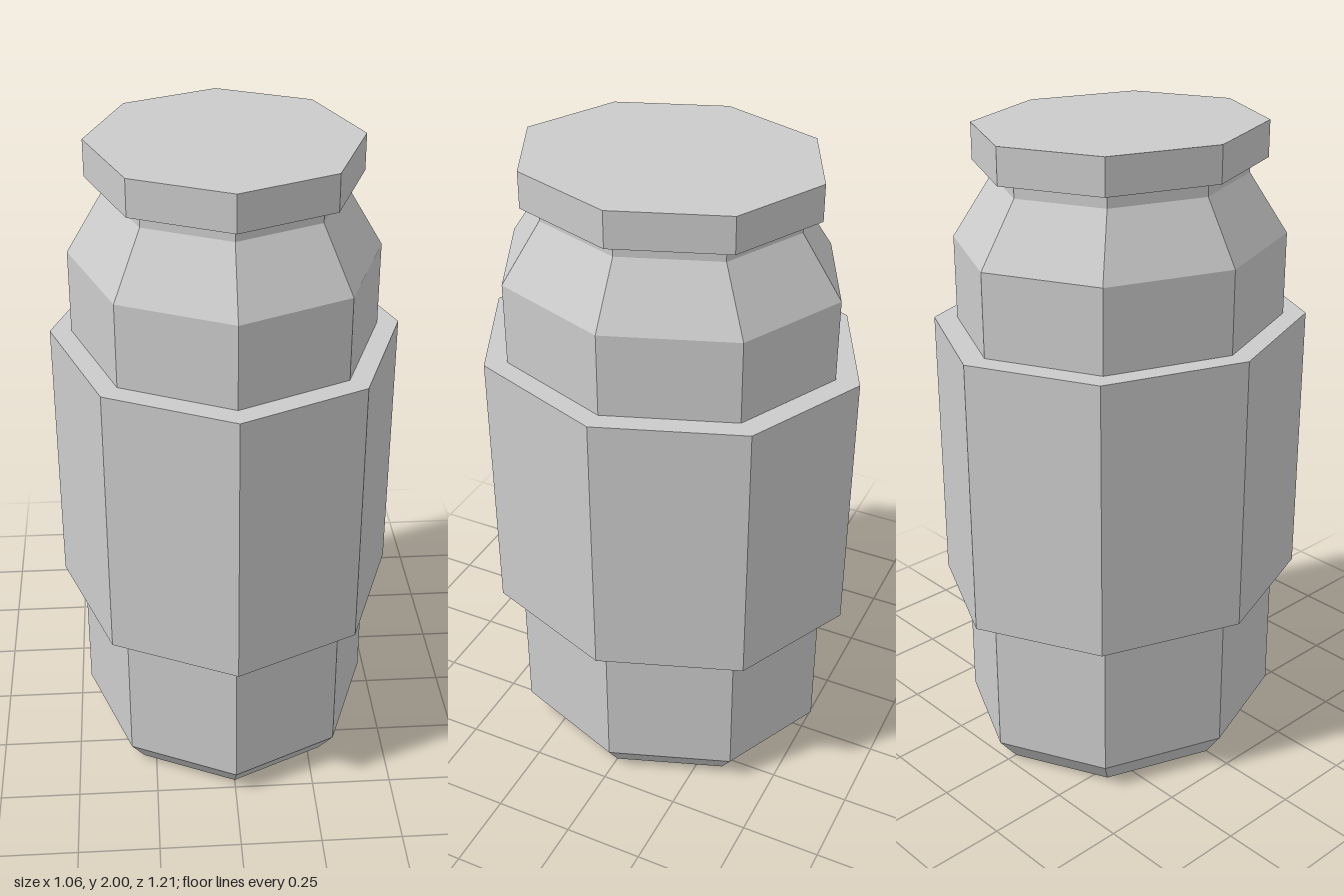
import * as THREE from 'three';

const SIDES = 8;
const DEPTH = 1.14; // the octagon is slightly deeper than wide

export function createModel() {
  const group = new THREE.Group();
  group.name = 'canister';
  const material = new THREE.MeshStandardMaterial({ color: 0xcccccc, flatShading: true });

  // Eight-sided part from a [radius, height] profile, listed from bottom to top
  const addPart = (name, profile) => {
    const points = profile.map(([r, y]) => new THREE.Vector2(r, y));
    const geometry = new THREE.LatheGeometry(points, SIDES);
    geometry.scale(1, 1, DEPTH);
    geometry.computeVertexNormals();
    const mesh = new THREE.Mesh(geometry, material);
    mesh.name = name;
    group.add(mesh);
  };

  // Closed base with a chamfered foot
  addPart('base', [[0, 0], [0.41, 0], [0.465, 0.08], [0.465, 0.54]]);

  // Wide band around the middle, with its ledges
  addPart('sleeve', [[0.465, 0.54], [0.53, 0.54], [0.53, 1.405], [0.465, 1.405]]);

  // Upper body tapering into a short neck
  addPart('shoulder', [[0.465, 1.405], [0.465, 1.66], [0.355, 1.845], [0.355, 1.89]]);

  // Overhanging lid
  addPart('lid', [[0.355, 1.89], [0.405, 1.89], [0.405, 2], [0, 2]]);

  return group;
}
